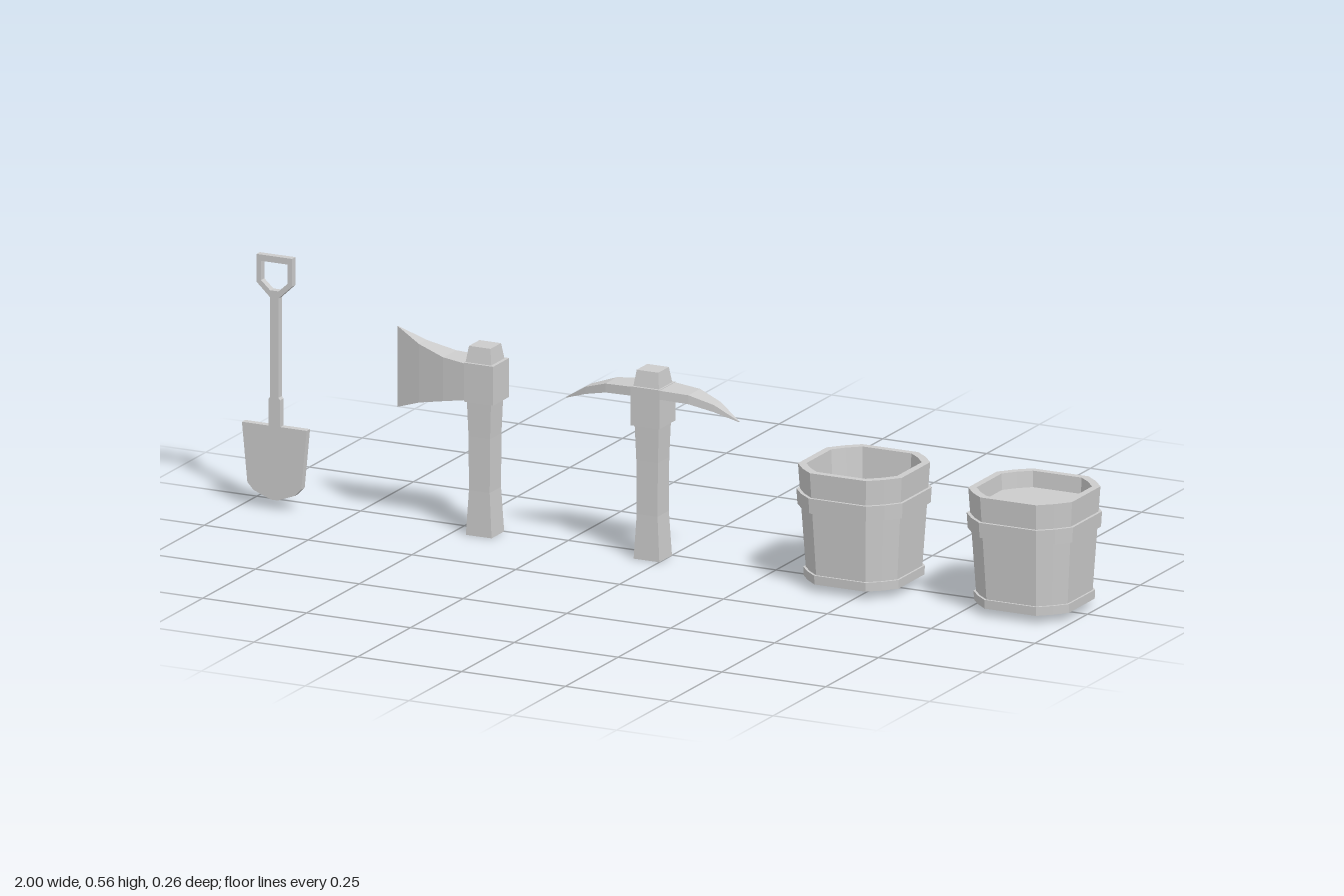
import * as THREE from 'three';

const material = new THREE.MeshStandardMaterial({ color: 0xcccccc, flatShading: true });

function mesh(name, geometry) {
  const m = new THREE.Mesh(geometry, material);
  m.name = name;
  return m;
}

function group(name, ...parts) {
  const g = new THREE.Group();
  g.name = name;
  g.add(...parts);
  return g;
}

// Skin over a row of rings; each ring runs counter-clockwise seen from the far end.
function loft(rings, capStart = true, capEnd = true) {
  const pos = [];
  const tri = (a, b, c) => pos.push(...a, ...b, ...c);
  const n = rings[0].length;
  for (let i = 0; i < rings.length - 1; i++) {
    for (let j = 0; j < n; j++) {
      const k = (j + 1) % n;
      const a = rings[i][j], b = rings[i][k], c = rings[i + 1][k], d = rings[i + 1][j];
      tri(a, b, c);
      tri(a, c, d);
    }
  }
  const first = rings[0], last = rings[rings.length - 1];
  for (let j = 1; j < n - 1; j++) {
    if (capStart) tri(first[0], first[j + 1], first[j]);
    if (capEnd) tri(last[0], last[j], last[j + 1]);
  }
  const g = new THREE.BufferGeometry();
  g.setAttribute('position', new THREE.Float32BufferAttribute(pos, 3));
  g.computeVertexNormals();
  return g;
}

// Rounded-square ring with two facets per corner
function bucketRing([y, h]) {
  const ring = [];
  const quarter = [[1, -0.54], [0.79, -0.79], [0.54, -1]];
  for (let q = 0; q < 4; q++) {
    const c = Math.round(Math.cos(q * Math.PI / 2)), s = Math.round(Math.sin(q * Math.PI / 2));
    for (const [x, z] of quarter) ring.push([h * (x * c + z * s), y, h * (z * c - x * s)]);
  }
  return ring;
}

function bucket(name, x, full) {
  const staves = [[0.017, 0.109], [0.268, 0.125], [0.268, 0.109], [0.035, 0.096]];
  const lowerHoop = [[0.017, 0.109], [0.017, 0.114], [0.037, 0.115], [0.037, 0.109]];
  const upperHoop = [[0.178, 0.118], [0.178, 0.126], [0.212, 0.128], [0.212, 0.12]];
  const g = group(name,
    mesh('staves', loft(staves.map(bucketRing))),
    mesh('lowerHoop', loft(lowerHoop.map(bucketRing), false, false)),
    mesh('upperHoop', loft(upperHoop.map(bucketRing), false, false)));
  if (full) g.add(mesh('water', loft([[0.21, 0.106], [0.232, 0.1075]].map(bucketRing))));
  g.position.x = x;
  return g;
}

// Square-section wooden handle with a waist, and its end poking out above the head
function toolHandle() {
  const ring = ([y, hx, hz]) => [[hx, y, hz], [hx, y, -hz], [-hx, y, -hz], [-hx, y, hz]];
  const shaft = [[0, 0.031, 0.03], [0.1, 0.025, 0.027], [0.22, 0.026, 0.027], [0.3, 0.029, 0.029]];
  const end = [[0.385, 0.031, 0.032], [0.422, 0.026, 0.025]];
  return [mesh('handle', loft(shaft.map(ring))), mesh('handleEnd', loft(end.map(ring)))];
}

function headBlock(x) {
  const m = mesh('headSocket', new THREE.BoxGeometry(0.07, 0.087, 0.076));
  m.position.set(x, 0.3435, 0);
  return m;
}

// Tapering metal arm running along x; section: [distance, low y, high y, half depth]
function arm(name, side, sections) {
  return mesh(name, loft(sections.map(([x, y0, y1, w]) => [
    [side * x, y0, side * w], [side * x, y0, -side * w],
    [side * x, y1, -side * w], [side * x, y1, side * w],
  ])));
}

function axe() {
  const blade = [
    [0.03, 0.303, 0.385, 0.037], [0.085, 0.292, 0.39, 0.031],
    [0.15, 0.277, 0.408, 0.018], [0.21, 0.255, 0.436, 0.001],
  ];
  const g = group('axe', ...toolHandle(), headBlock(0.004), arm('axeBlade', -1, blade));
  g.position.set(-0.435, 0, 0.031);
  return g;
}

function pickaxe() {
  const spike = [
    [0.034, 0.366, 0.386, 0.037], [0.1, 0.362, 0.382, 0.028],
    [0.155, 0.348, 0.364, 0.015], [0.208, 0.329, 0.331, 0.001],
  ];
  const g = group('pickaxe', ...toolHandle(), headBlock(0),
    arm('leftSpike', 1, spike), arm('rightSpike', -1, spike));
  g.position.set(-0.031, 0, 0.031);
  return g;
}

// Mirrored outline from its right half, listed bottom to top
function outline(half, Type = THREE.Shape) {
  const left = half.map(([x, y]) => [-x, y]).reverse();
  return new Type([...half, ...left].map(([x, y]) => new THREE.Vector2(x, y)));
}

function shovel() {
  const plate = (name, shape) =>
    mesh(name, new THREE.ExtrudeGeometry(shape, { depth: 0.016, bevelEnabled: false }));
  const blade = outline([[0.008, 0.02], [0.05, 0.036], [0.065, 0.052], [0.078, 0.185]]);
  const shaft = outline([[0.014, 0.185], [0.014, 0.245], [0.01, 0.25], [0.01, 0.472]]);
  const grip = outline([[0.01, 0.472], [0.043, 0.503], [0.043, 0.565]]);
  grip.holes.push(outline([[0.01, 0.488], [0.032, 0.508], [0.032, 0.551]], THREE.Path));
  const g = group('shovel', plate('shovelBlade', blade), plate('shovelShaft', shaft),
    plate('shovelGrip', grip));
  g.position.set(-0.922, 0, 0.055);
  return g;
}

export function createModel() {
  return group('toolSet', shovel(), axe(), pickaxe(),
    bucket('emptyBucket', 0.462, false), bucket('fullBucket', 0.872, true));
}
